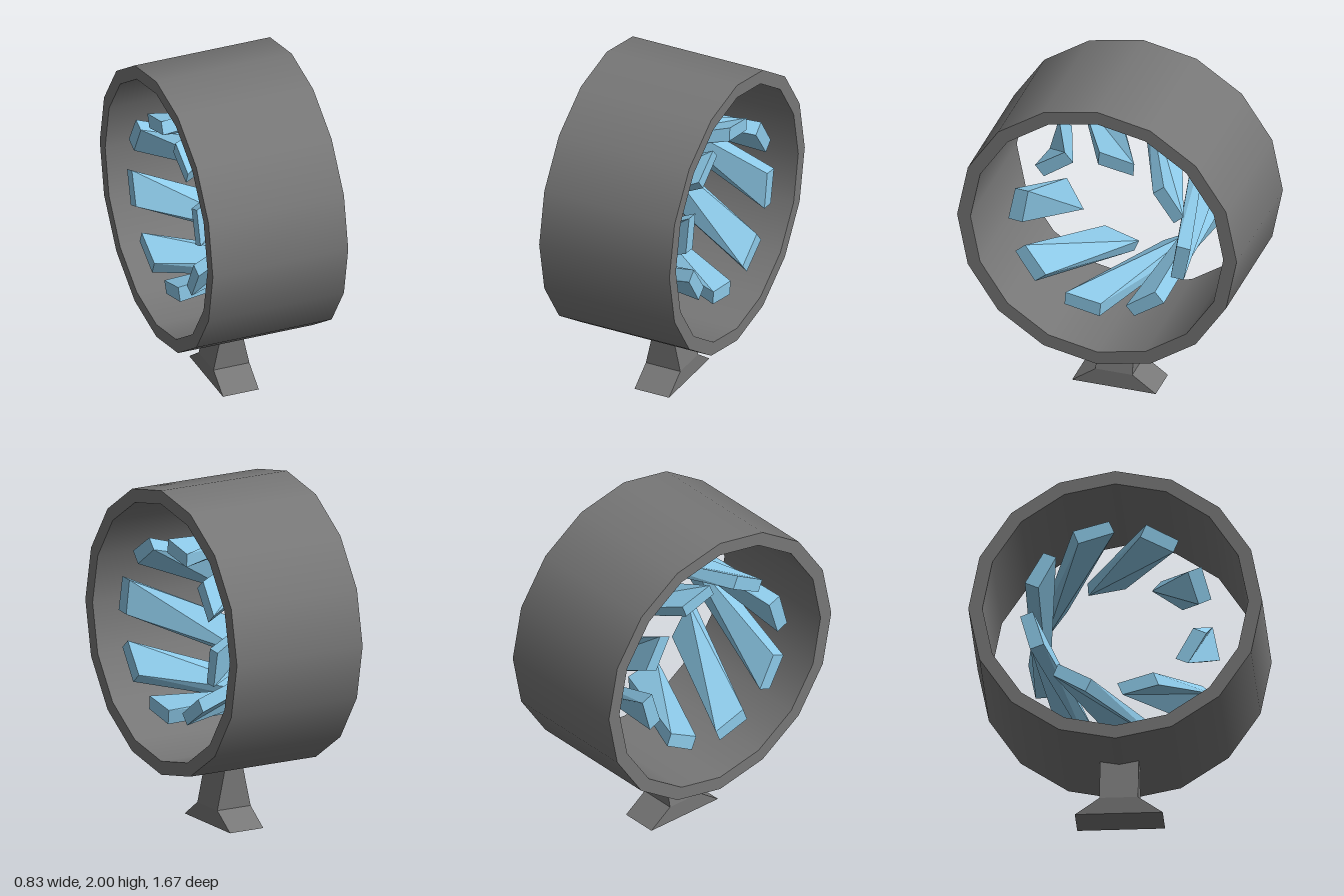
import * as THREE from 'three';

const CENTRE_Y = 1.165, OUTER = 0.836, INNER = 0.756, HALF = 0.416;

const shellMaterial = (side = THREE.FrontSide, flatShading = false) =>
  new THREE.MeshStandardMaterial({ color: 0x777777, side, flatShading });

function part(name, geometry, material) {
  const mesh = new THREE.Mesh(geometry, material);
  mesh.name = name;
  return mesh;
}

// Sixteen-sided open tube with flat rims, lying along x
function makeHousing() {
  const group = new THREE.Group();
  group.name = 'housing';
  const tube = (r) => new THREE.CylinderGeometry(r, r, HALF * 2, 16, 1, true).rotateZ(Math.PI / 2);
  group.add(part('outerWall', tube(OUTER), shellMaterial()));
  group.add(part('innerWall', tube(INNER), shellMaterial(THREE.BackSide)));
  for (const s of [1, -1]) {
    const rim = new THREE.RingGeometry(INNER, OUTER, 16).rotateY((s * Math.PI) / 2).translate(s * HALF, 0, 0);
    group.add(part(s > 0 ? 'leftRim' : 'rightRim', rim, shellMaterial()));
  }
  group.position.y = CENTRE_Y;
  return group;
}

// Thick twisted vane: four outer and four inner corners, creased along one diagonal
function makeVaneGeometry() {
  const END = 0.37, TWIST = 41;
  const at = (x, degrees, r) => {
    const a = THREE.MathUtils.degToRad(degrees);
    return [x, r * Math.cos(a), -r * Math.sin(a)];
  };
  const corners = [
    at(END, 0, 0.545), at(END, 22.5, 0.545),
    at(-END, 22.5 - TWIST, 0.545), at(-END, -TWIST, 0.545),
    at(END, -1, 0.462), at(END, 25.5, 0.472),
    at(-END, 23.5 - TWIST, 0.462), at(-END, -3 - TWIST, 0.472),
  ];
  const faces = [0, 1, 3, 1, 2, 3, 4, 7, 5, 5, 7, 6];
  for (let i = 0; i < 4; i++) {
    const j = (i + 1) % 4;
    faces.push(i, i + 4, j + 4, i, j + 4, j);
  }
  const geometry = new THREE.BufferGeometry();
  geometry.setAttribute('position', new THREE.Float32BufferAttribute(faces.flatMap((k) => corners[k]), 3));
  geometry.computeVertexNormals();
  return geometry;
}

// Eight vanes around the axis
function makeVanes() {
  const group = new THREE.Group();
  group.name = 'vanes';
  const geometry = makeVaneGeometry();
  const material = new THREE.MeshStandardMaterial({ color: 0x8dcae9, flatShading: true });
  for (let i = 0; i < 8; i++) {
    const vane = part('vane', geometry, material);
    vane.rotation.x = (i * Math.PI) / 4;
    group.add(vane);
  }
  group.position.y = CENTRE_Y;
  return group;
}

// Pedestal: splayed foot below a tapering neck
function makePedestal() {
  const sections = [ // y, half width in x, half depth in z
    [0, 0.11, 0.25], [0.1, 0.11, 0.11], [0.37, 0.052, 0.11],
  ];
  const geometry = new THREE.BoxGeometry(2, 2, 2, 1, 2, 1).toNonIndexed();
  const p = geometry.attributes.position;
  for (let i = 0; i < p.count; i++) {
    const [y, w, d] = sections[Math.round(p.getY(i)) + 1];
    p.setXYZ(i, p.getX(i) * w, y, p.getZ(i) * d);
  }
  geometry.computeVertexNormals();
  return part('pedestal', geometry, shellMaterial(THREE.FrontSide, true));
}

export function createModel() {
  const model = new THREE.Group();
  model.name = 'ductedFan';
  model.add(makeHousing(), makeVanes(), makePedestal());
  return model;
}
